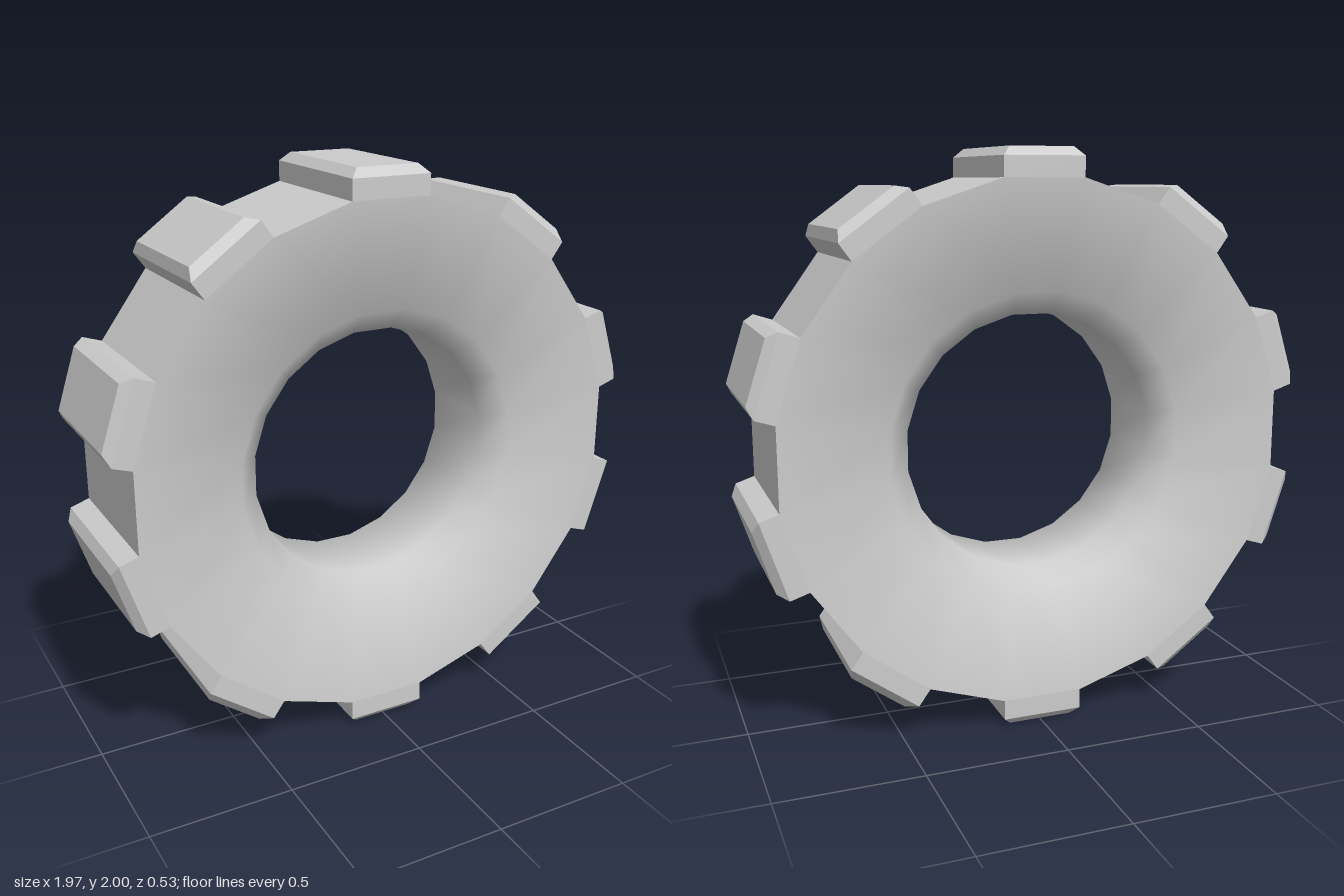
import * as THREE from 'three';
import { toCreasedNormals } from 'three/addons/utils/BufferGeometryUtils.js';

const TEETH = 10;
const HALF = 0.267;    // half thickness
const ROOT = 0.9;      // distance from axis to the flats between teeth
const BEVEL = 0.03;
const STEP = Math.PI / TEETH;
const CORNER = ROOT / Math.cos(STEP / 2);

// 20-sided ring around the z axis, with a flat facing straight up
function ring(profile, crease) {
  const points = profile.map(([r, y]) => new THREE.Vector2(r, y));
  const geo = new THREE.LatheGeometry(points, TEETH * 2, STEP / 2);
  geo.rotateX(Math.PI / 2);
  return toCreasedNormals(geo, crease);
}

// Block standing on the ring, its top edges chamfered on all four sides
function toothGeometry() {
  const halfWidth = CORNER * Math.sin(STEP / 2);
  const geo = new THREE.BoxGeometry(2, 2, 2, 1, 2, 1);
  const p = geo.attributes.position;
  for (let i = 0; i < p.count; i++) {
    const level = Math.round(p.getY(i)) + 1;
    const inset = level === 2 ? BEVEL : 0;
    p.setXYZ(i, p.getX(i) * (halfWidth - inset), [ROOT, 1 - BEVEL, 1][level], p.getZ(i) * (HALF - inset));
  }
  return toCreasedNormals(geo, 0.1);
}

export function createModel() {
  const model = new THREE.Group();
  model.name = 'gear';
  const material = new THREE.MeshStandardMaterial({ color: 0xcccccc });
  const add = (name, geo) => {
    const mesh = new THREE.Mesh(geo, material);
    mesh.name = name;
    mesh.position.y = 1;
    model.add(mesh);
    return mesh;
  };

  // Faceted outer wall
  add('outerWall', ring([[CORNER, -HALF], [CORNER, HALF]], 0.1));

  // Dished side faces running smoothly over a chamfer into the hole
  const rim = 0.53, rimZ = 0.222, bore = 0.45, boreZ = 0.147;
  add('facesAndBore', ring([
    [CORNER, HALF], [rim, rimZ], [bore, boreZ],
    [bore, -boreZ], [rim, -rimZ], [CORNER, -HALF],
  ], 1));

  // Teeth
  const tooth = toothGeometry();
  for (let i = 0; i < TEETH; i++) {
    add('tooth' + (i + 1), tooth).rotation.z = i * STEP * 2;
  }
  return model;
}
